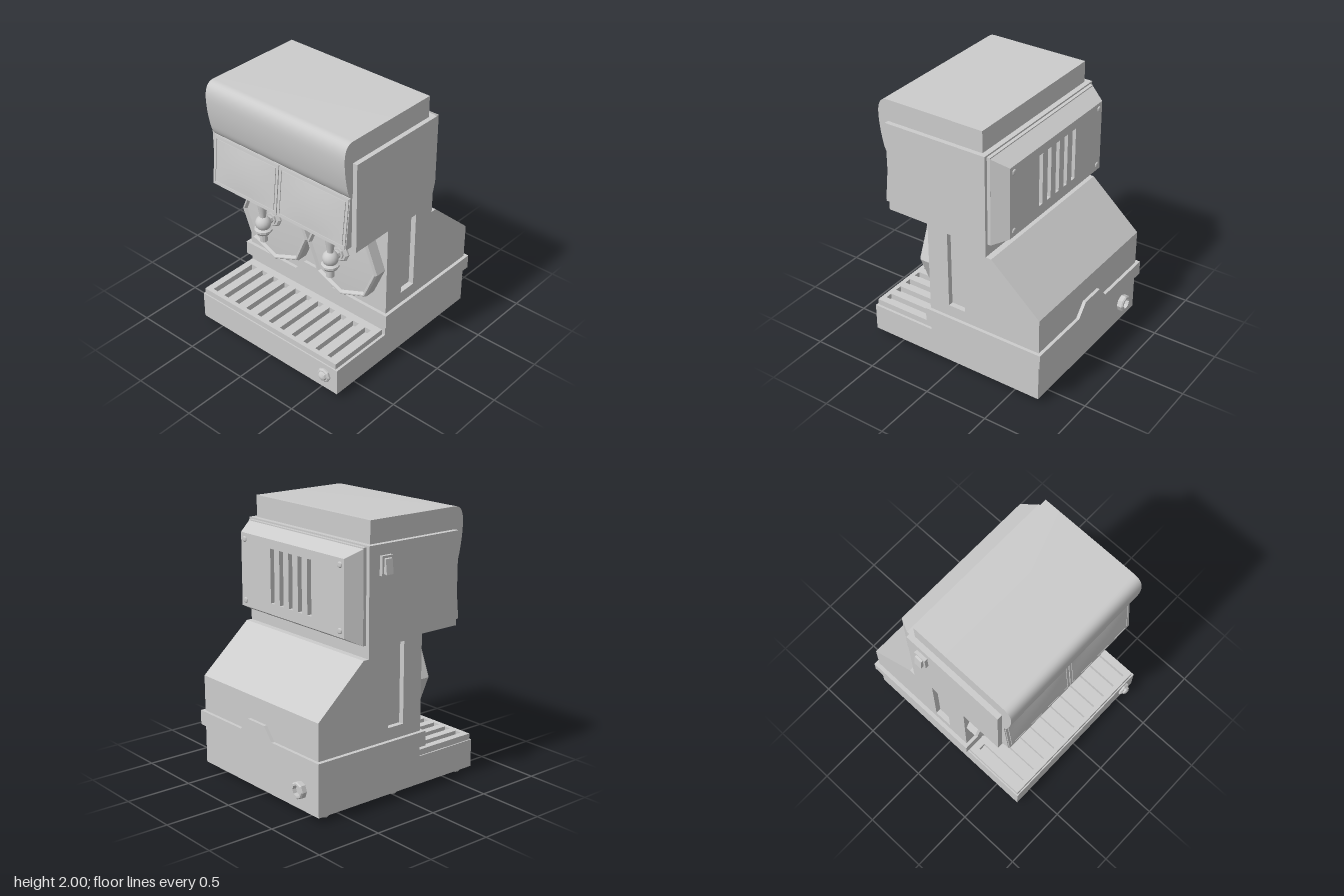
import * as THREE from 'three';
import { toCreasedNormals } from 'three/addons/utils/BufferGeometryUtils.js';

const CX = 0.01; // middle of the machine
const X0 = -0.65, X1 = 0.67;

export function createModel() {
  const model = new THREE.Group();
  const mat = new THREE.MeshStandardMaterial({ color: 0xcccccc });

  const add = (name, geo, parent = model) => {
    const mesh = new THREE.Mesh(geo, mat);
    mesh.name = name;
    parent.add(mesh);
    return mesh;
  };
  // box given by its limits
  const box = (name, x0, x1, y0, y1, z0, z1, parent) => add(name,
    new THREE.BoxGeometry(x1 - x0, y1 - y0, z1 - z0)
      .translate((x0 + x1) / 2, (y0 + y1) / 2, (z0 + z1) / 2), parent);
  const shapeOf = (pts) => new THREE.Shape(pts.map((p) => new THREE.Vector2(...p)));
  const rectPath = (x0, x1, y0, y1) => new THREE.Path(
    [[x0, y0], [x0, y1], [x1, y1], [x1, y0]].map((p) => new THREE.Vector2(...p)));
  const extrude = (shape, depth) => new THREE.ExtrudeGeometry(shape, { depth, bevelEnabled: false, curveSegments: 10 });
  // side profile in (z, y), swept from x0 to x1
  const sweepX = (shape, x0, x1) => extrude(shape, x1 - x0).rotateY(-Math.PI / 2).translate(x1, 0, 0);
  const lathe = (pts, sides, crease = 0.9) => toCreasedNormals(
    new THREE.LatheGeometry(pts.map((p) => new THREE.Vector2(...p)), sides), crease);

  // base and drip tray
  box('base', X0, X1, 0.045, 0.34, -0.72, 0.2);
  box('trayBody', X0, X1, 0.045, 0.255, 0.2, 0.72);
  const grille = shapeOf([[-0.64, -0.71], [0.65, -0.71], [0.65, -0.21], [-0.64, -0.21]]);
  for (let i = 0; i < 11; i++) {
    const x = -0.56 + i * 0.113;
    grille.holes.push(rectPath(x - 0.027, x + 0.027, -0.675, -0.27));
  }
  add('trayGrille', extrude(grille, 0.045).rotateX(-Math.PI / 2).translate(0, 0.255, 0));

  // feet
  for (const x of [-0.57, 0.575]) for (const z of [0.645, 0.015, -0.605]) {
    add('foot', lathe([[0, 0], [0.025, 0.002], [0.038, 0.016], [0.042, 0.03], [0.036, 0.05]], 8)).position.set(x, 0, z);
  }

  // belt with a raised tab front and back
  box('belt', -0.68, 0.695, 0.34, 0.45, -0.745, 0.225);
  const tab = shapeOf([[-0.18, 0.45], [0.18, 0.45], [0.095, 0.548], [-0.095, 0.548]]);
  for (const z of [0.2, -0.745]) add('beltTab', extrude(tab, 0.025).translate(CX, 0, z));

  // column with a recessed slot in each side
  const sheet = shapeOf([[-0.285, 0.45], [0.2, 0.45], [0.2, 1.16], [-0.285, 1.16]]);
  sheet.holes.push(rectPath(-0.105, 0.035, 0.54, 1.14));
  box('column', X0 + 0.04, X1 - 0.04, 0.45, 1.16, -0.285, 0.2);
  add('columnSide', sweepX(sheet, X0, X0 + 0.04));
  add('columnSide', sweepX(sheet, X1 - 0.04, X1));

  // sloped rear housing
  add('rearHousing', sweepX(shapeOf([[-0.72, 0.45], [-0.285, 0.45], [-0.285, 1.07], [-0.33, 1.07], [-0.72, 0.72]]), X0, X1));

  // upper body and rounded hood
  box('upperBody', X0, X1, 1.16, 1.84, -0.285, 0.53);
  const hood = new THREE.Shape();
  hood.moveTo(-0.245, 1.575);
  hood.lineTo(0.54, 1.575);
  hood.quadraticCurveTo(0.568, 1.6, 0.582, 1.66);
  hood.quadraticCurveTo(0.61, 1.78, 0.611, 1.88);
  hood.bezierCurveTo(0.611, 1.96, 0.585, 2, 0.53, 2);
  hood.lineTo(-0.245, 2);
  add('hood', toCreasedNormals(sweepX(hood, -0.61, 0.635), 0.6));

  // tilted display frame and its two panels
  add('displayFrame', sweepX(shapeOf([[0.52, 1.19], [0.588, 1.19], [0.548, 1.575], [0.52, 1.575]]), -0.61, 0.63));
  const tilt = -Math.atan2(0.04, 0.385);
  for (const s of [-1, 1]) {
    const panel = new THREE.Group();
    panel.name = 'displayPanel';
    panel.position.set(CX + s * 0.309, 1.3825, 0.568);
    panel.rotation.x = tilt;
    model.add(panel);
    // raised border with a slightly bulging face inside
    const rim = shapeOf([[-0.305, -0.19], [0.305, -0.19], [0.305, 0.19], [-0.305, 0.19]]);
    rim.holes.push(rectPath(-0.285, 0.285, -0.168, 0.168));
    add('panelRim', extrude(rim, 0.008), panel);
    const face = new THREE.BoxGeometry(0.56, 0.325, 0.02, 8, 8, 1);
    const p = face.attributes.position;
    for (let i = 0; i < p.count; i++) {
      if (p.getZ(i) > 0) {
        const u = p.getX(i) / 0.28, v = p.getY(i) / 0.1625;
        p.setZ(i, 0.008 + 0.008 * (1 - u * u) * (1 - v * v));
      }
    }
    face.computeVertexNormals();
    add('panelFace', face, panel);
  }

  // octagonal front plates with taps
  for (const s of [-1, 1]) {
    const unit = new THREE.Group();
    unit.name = 'dispenser';
    unit.position.set(CX + s * 0.322, 0, 0);
    model.add(unit);
    add('frontPlate', lathe([[0.322, 0], [0.322, 0.085], [0.31, 0.1], [0.3, 0.1], [0.285, 0.08], [0, 0.095]], 8, 0.5)
      .rotateX(Math.PI / 2), unit).position.set(0, 0.822, 0.2);
    add('tapNut', lathe([[0.075, 0], [0.075, 0.012], [0.062, 0.025], [0.045, 0.025], [0.045, 0.04], [0.03, 0.04], [0.03, 0.11]], 8, 0.4)
      .rotateX(Math.PI / 2), unit).position.set(0, 0.88, 0.29);
    add('tapBall', new THREE.SphereGeometry(0.059, 16, 12), unit).position.set(0, 0.885, 0.405);
    add('tapSpout', lathe([[0, 0.732], [0.03, 0.732], [0.03, 0.795], [0.05, 0.8], [0.066, 0.822], [0.066, 0.838], [0.05, 0.845], [0.035, 0.86]], 12, 0.5),
      unit).position.set(0, 0, 0.405);
    add('tapHandle', lathe([[0.022, 0.92], [0.024, 0.95], [0.035, 1.02], [0.043, 1.085], [0.038, 1.115], [0.022, 1.128], [0, 1.13]], 10),
      unit).position.set(0, 0, 0.405);
  }

  // rear vent panel: slotted plate whose back edge is drawn in
  box('ventFlange', -0.62, 0.645, 1.16, 1.828, -0.31, -0.28);
  const vent = shapeOf([[-0.632, -0.33], [0.632, -0.33], [0.632, 0.33], [-0.632, 0.33]]);
  for (let i = -2; i <= 2; i++) vent.holes.push(rectPath(i * 0.103 - 0.022, i * 0.103 + 0.022, -0.19, 0.205));
  const ventGeo = extrude(vent, 0.115);
  const vp = ventGeo.attributes.position;
  for (let i = 0; i < vp.count; i++) {
    if (vp.getZ(i) > 0.1 && Math.abs(vp.getX(i)) > 0.5) {
      vp.setX(i, vp.getX(i) * 0.905);
      vp.setY(i, vp.getY(i) * 0.82);
    }
  }
  ventGeo.computeVertexNormals();
  add('ventPanel', ventGeo.rotateY(Math.PI).translate(0.0125, 1.49, -0.31));
  box('ventBacking', -0.3, 0.32, 1.26, 1.72, -0.375, -0.31);
  for (const x of [-0.517, 0.54]) for (const y of [1.265, 1.715]) {
    add('ventScrew', lathe([[0.022, 0], [0.02, 0.006], [0.01, 0.01], [0, 0.01]], 10).rotateX(-Math.PI / 2))
      .position.set(x, y, -0.425);
  }

  // power switch
  box('switchPlate', -0.675, X0, 1.63, 1.765, -0.195, -0.1);
  add('switchRocker', extrude(shapeOf([[-0.67, 1.645], [-0.67, 1.75], [-0.69, 1.745], [-0.702, 1.64]]), 0.06)
    .translate(0, 0, -0.178));

  // front knob and rear drain fitting
  add('frontKnob', lathe([[0.055, 0], [0.055, 0.012], [0.045, 0.02], [0.036, 0.02], [0.03, 0.035], [0.015, 0.044], [0, 0.046]], 8, 0.5)
    .rotateX(Math.PI / 2)).position.set(0.557, 0.163, 0.72);
  add('rearFitting', lathe([[0.063, 0], [0.063, 0.035], [0.055, 0.045], [0.04, 0.045], [0.038, 0.015], [0, 0.015]], 8, 0.5)
    .rotateX(-Math.PI / 2)).position.set(-0.463, 0.195, -0.72);

  return model;
}
